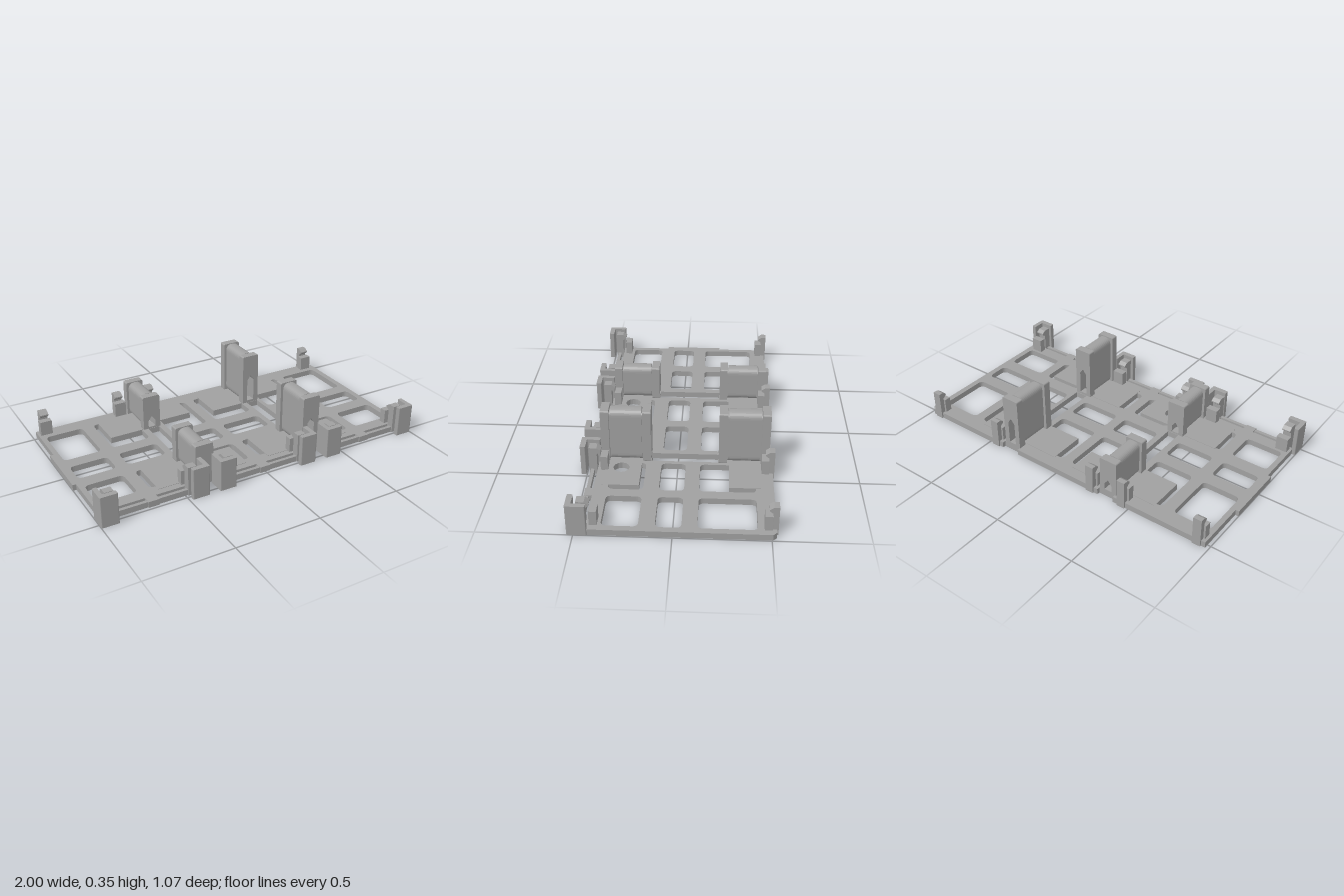
import * as THREE from 'three';

const grey = new THREE.MeshStandardMaterial({ color: 0xa0a0a0 });
grey.name = 'grey plastic';
const T = 0.035; // plate thickness

function add(parent, name, geo) {
  const m = new THREE.Mesh(geo, grey);
  m.name = name;
  parent.add(m);
  return m;
}

function box(parent, name, x0, x1, y0, y1, z0, z1) {
  const m = add(parent, name, new THREE.BoxGeometry(x1 - x0, y1 - y0, z1 - z0));
  m.position.set((x0 + x1) / 2, (y0 + y1) / 2, (z0 + z1) / 2);
  return m;
}

// Polygon with corners cut or rounded by r
function poly(P, pts, r = 0, round = true) {
  const p = new P();
  pts.forEach(([x, y], i) => {
    const a = pts[(i + pts.length - 1) % pts.length], b = pts[(i + 1) % pts.length];
    const la = Math.hypot(a[0] - x, a[1] - y), lb = Math.hypot(b[0] - x, b[1] - y);
    const sx = x + (a[0] - x) / la * r, sy = y + (a[1] - y) / la * r;
    const ex = x + (b[0] - x) / lb * r, ey = y + (b[1] - y) / lb * r;
    if (i) p.lineTo(sx, sy); else p.moveTo(sx, sy);
    if (r && round) p.quadraticCurveTo(x, y, ex, ey);
    else if (r) p.lineTo(ex, ey);
  });
  p.closePath();
  return p;
}
const rect = (x0, x1, y0, y1) => [[x0, y0], [x1, y0], [x1, y1], [x0, y1]];

// Flat slab drawn in x and -z, standing up from y0 to y1
function slab(parent, name, shape, y0, y1) {
  const geo = new THREE.ExtrudeGeometry(shape, { depth: y1 - y0, bevelEnabled: false, curveSegments: 6 });
  geo.rotateX(-Math.PI / 2);
  geo.translate(0, y0, 0);
  return add(parent, name, geo);
}

// Upright profile in x and y, running from z0 to z1
function upright(parent, name, shape, x, z0, z1) {
  const geo = new THREE.ExtrudeGeometry(shape, { depth: z1 - z0, bevelEnabled: false, curveSegments: 8 });
  geo.translate(x, 0, z0);
  return add(parent, name, geo);
}

function gable(w, y0, y1) {
  return poly(THREE.Path, [[-w, y0], [w, y0], [w, y1 - w * 1.3], [0, y1], [-w, y1 - w * 1.3]]);
}

// Base plate with window holes and the two slots between panels
function basePlate(g) {
  const outline = [
    [-0.98, -0.44], [-0.4, -0.44], [-0.4, -0.425], [-0.295, -0.425], [-0.295, -0.44],
    [0.285, -0.44], [0.285, -0.425], [0.4, -0.425], [0.4, -0.44], [0.995, -0.44],
    [0.995, 0.505], [0.975, 0.525], [0.4, 0.525], [0.4, 0.505], [0.285, 0.505], [0.285, 0.525],
    [-0.295, 0.525], [-0.295, 0.505], [-0.4, 0.505], [-0.4, 0.525], [-0.98, 0.525],
    [-0.98, 0.22], [-1, 0.22], [-1, -0.135], [-0.98, -0.135]];
  const s = poly(THREE.Shape, outline);
  const cols = [[-0.95, -0.725], [-0.655, -0.42], [-0.275, -0.035], [0.025, 0.275], [0.41, 0.655], [0.715, 0.96]];
  const rows = [[-0.43, -0.125], [-0.045, 0.09], [0.175, 0.365]];
  for (const [x0, x1] of cols)
    for (const [z0, z1] of rows) s.holes.push(poly(THREE.Path, rect(x0, x1, -z1, -z0), 0.03));
  for (const [x0, x1] of [[-0.38, -0.31], [0.31, 0.385]])
    s.holes.push(poly(THREE.Path, rect(x0, x1, -0.147, 0.225)));
  slab(g, 'basePlate', s, 0, T);

  // Solid pads that close parts of the holes beside the towers
  for (const dx of [0, 0.69]) {
    const y0 = 0.0005, y1 = T + 0.002;
    box(g, 'backPad', -0.62 + dx, -0.412 + dx, y0, y1, -0.45, -0.232);
    box(g, 'frontPad', -0.62 + dx, -0.412 + dx, y0, y1, 0.165, 0.4);
    box(g, 'backPad', -0.285 + dx, -0.07 + dx, y0, y1, -0.46, -0.285);
    const p = poly(THREE.Shape, rect(-0.285 + dx, -0.07 + dx, -0.4, -0.2));
    const hole = new THREE.Path();
    hole.absarc(-0.232 + dx, -0.31, 0.045, 0, Math.PI * 2);
    p.holes.push(hole);
    slab(g, 'frontPadWithHole', p, y0, y1);
  }

  // Thin rails along the front edge, each joined in the middle
  for (const [x0, x1] of [[-0.95, -0.42], [-0.265, 0.26], [0.425, 0.95]]) {
    const c = (x0 + x1) / 2;
    box(g, 'frontRail', x0, x1, 0, T - 0.002, 0.458, 0.478);
    box(g, 'railBridge', c - 0.032, c + 0.032, 0, T, 0.438, 0.484);
  }
}

// Hollow tower: rounded cover between two end walls with pointed windows
function tower(g, x, h, win0, win1, z0, z1) {
  const t = new THREE.Group();
  t.name = 'tower';
  const wall = poly(THREE.Shape, rect(-0.054, 0.054, T - 0.005, h), 0.01);
  wall.holes.push(gable(0.023, win0, win1));
  upright(t, 'towerEndWall', wall, x, z0, z0 + 0.046);
  upright(t, 'towerEndWall', wall, x, z1 - 0.046, z1);
  const shell = (w, top, r) => {
    const s = poly(THREE.Shape, rect(-w, w, T - 0.002, top), r);
    s.holes.push(poly(THREE.Path, rect(-0.026, 0.026, T, h - 0.04), 0.004));
    return s;
  };
  upright(t, 'towerCover', shell(0.043, h - 0.001, 0.04), x, z0 + 0.052, z1 - 0.052);
  upright(t, 'towerCore', shell(0.034, h - 0.02, 0.02), x, z0 + 0.04, z1 - 0.04);
  g.add(t);
}

// Snap clip: low block and a taller column with an inward barb; dir is its outward z
function clip(g, x, zIn, zCol, zOut, dir) {
  const c = new THREE.Group();
  c.name = 'snapClip';
  const b = (name, w, y0, y1, a, e) => box(c, name, x - w, x + w, y0, y1, Math.min(a, e), Math.max(a, e));
  b('clipBlock', 0.035, 0.01, 0.12, zIn, zIn + dir * 0.04);
  b('clipColumn', 0.025, 0, 0.17, zCol, zOut);
  const barb = poly(THREE.Shape, [[0, 0.13], [0.022, 0.148], [0.022, 0.155], [0, 0.17]]);
  const geo = new THREE.ExtrudeGeometry(barb, { depth: 0.05, bevelEnabled: false });
  geo.translate(0, 0, -0.025);
  geo.rotateY(dir * Math.PI / 2);
  geo.translate(x, 0, zCol);
  add(c, 'clipBarb', geo);
  g.add(c);
}

// Corner post with an L section; side is the x direction of its outer wall
function post(g, xOuter, side) {
  const at = d => xOuter - side * d;
  const pts = [[at(0), -0.43], [at(0), -0.533], [at(0.1), -0.533], [at(0.1), -0.503], [at(0.026), -0.503], [at(0.026), -0.43]];
  slab(g, 'cornerPost', poly(THREE.Shape, pts, 0.006), 0, 0.18);
}

export function createModel() {
  const g = new THREE.Group();
  g.name = 'hingedTray';
  basePlate(g);

  // Low towers on one joint, high towers on the other
  for (const [z0, z1] of [[-0.508, -0.227], [0.15, 0.427]]) {
    tower(g, -0.355, 0.245, 0.045, 0.115, z0, z1);
    tower(g, 0.335, 0.353, 0.05, 0.22, z0, z1);
  }

  for (const [x, side] of [[-1, -1], [-0.38, 1], [-0.315, -1], [0.305, 1], [0.38, -1], [1, 1]]) post(g, x, side);
  for (const x of [-0.93, -0.46, -0.24, 0.235, 0.45, 0.925]) clip(g, x, 0.382, 0.442, 0.485, 1);
  for (const x of [-0.93, -0.455, -0.245, 0.45, 0.925]) clip(g, x, -0.463, -0.505, -0.533, -1);
  return g;
}
